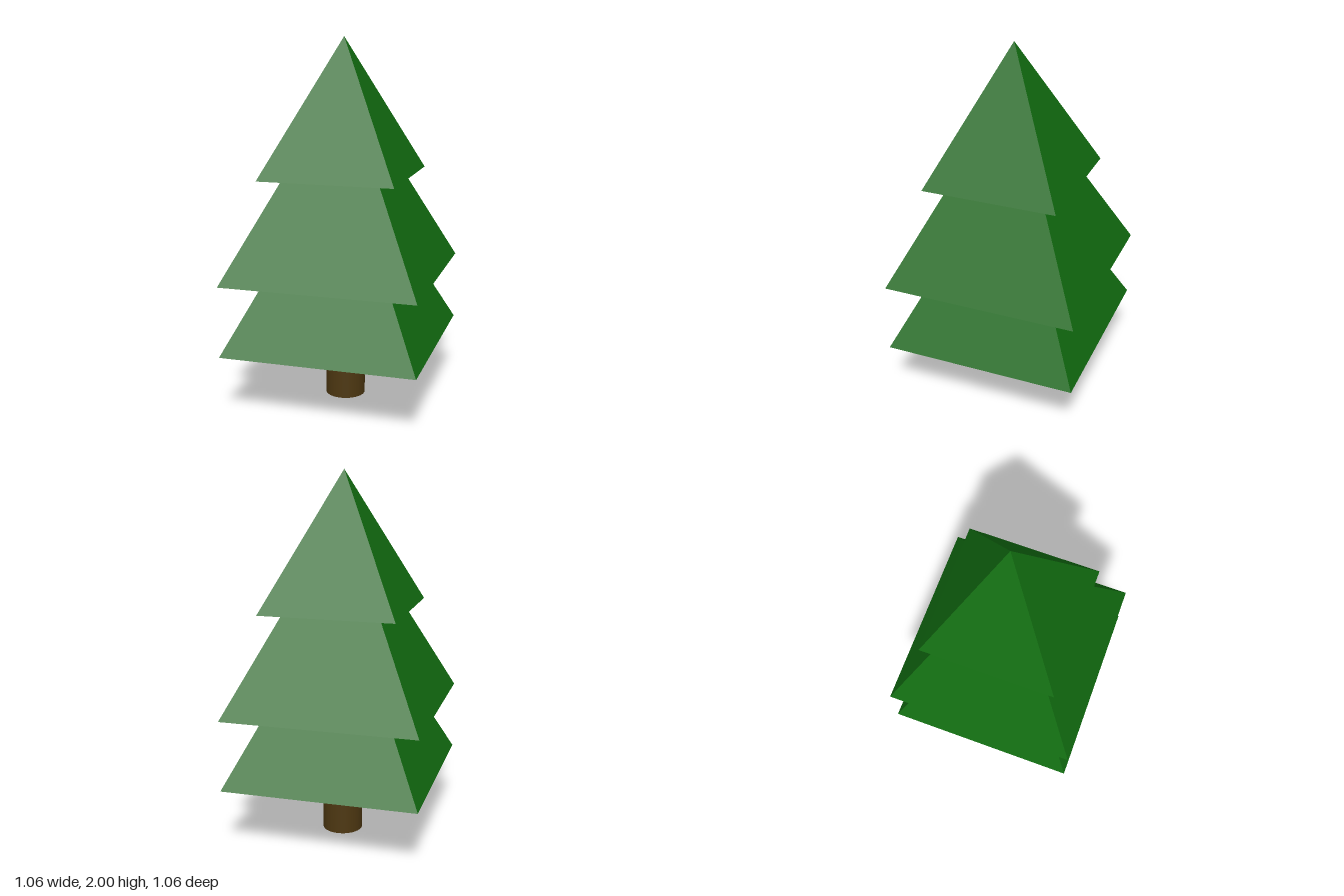
import * as THREE from 'three';

export function createModel() {
  const tree = new THREE.Group();
  tree.name = 'tree';
  const leaf = new THREE.MeshStandardMaterial({ color: 0x116b10, flatShading: true });
  const bark = new THREE.MeshStandardMaterial({ color: 0x4d3711 });

  // Square pyramid tiers: half width of the base, base height, apex height
  const tiers = [
    ['lowerFoliage', 0.53, 0.345, 1.41],
    ['middleFoliage', 0.53, 0.73, 1.79],
    ['upperFoliage', 0.368, 1.268, 2],
  ];
  for (const [name, half, base, apex] of tiers) {
    const geometry = new THREE.ConeGeometry(half * Math.SQRT2, apex - base, 4);
    geometry.rotateY(Math.PI / 4);
    const tier = new THREE.Mesh(geometry, leaf);
    tier.name = name;
    tier.position.y = (base + apex) / 2;
    tree.add(tier);
  }

  // Round trunk, set slightly towards the back
  const trunkHeight = 0.38;
  const trunk = new THREE.Mesh(new THREE.CylinderGeometry(0.11, 0.11, trunkHeight, 32), bark);
  trunk.name = 'trunk';
  trunk.position.set(0, trunkHeight / 2, -0.03);
  tree.add(trunk);

  return tree;
}
